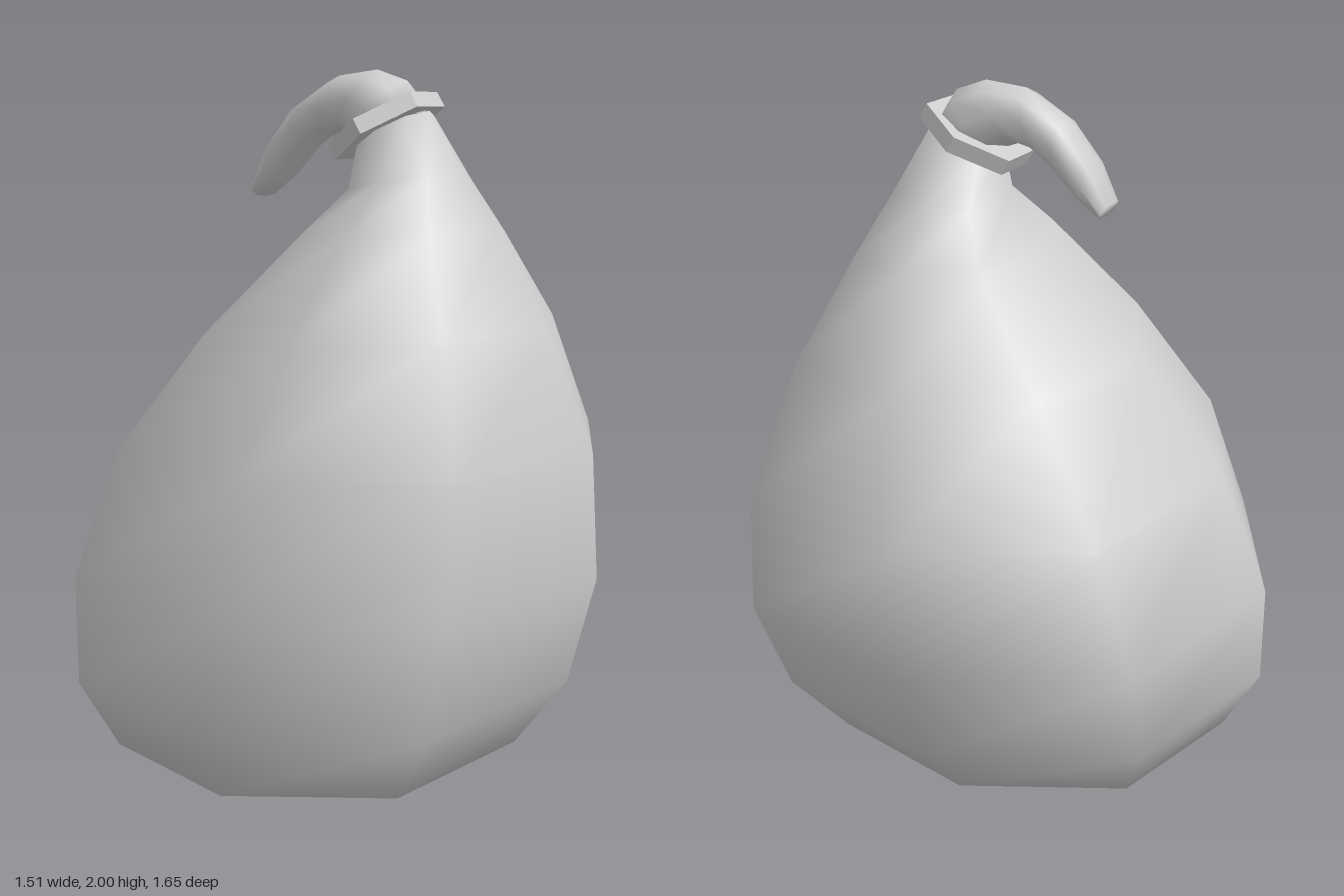
import * as THREE from 'three';

const SIDES = 8;

// Lofts tilted oval rings: [inner x, inner y, outer x, outer y, front z, back z, front-back lean].
// start and end are the closing points.
function loft(rings, start, end) {
  const pos = [...start];
  const index = [];
  for (const [xi, yi, xo, yo, zf, zb, lean] of rings) {
    for (let j = 0; j < SIDES; j++) {
      const t = (j / SIDES) * Math.PI * 2;
      const k = j % 2 ? 1.03 : 1; // slightly fuller on the diagonals
      const c = Math.cos(t) * k, s = Math.sin(t) * k;
      pos.push(
        (xi + xo) / 2 + ((xo - xi) / 2) * c,
        (yi + yo) / 2 + ((yo - yi) / 2) * c + lean * s,
        (zf + zb) / 2 + ((zf - zb) / 2) * s
      );
    }
  }
  pos.push(...end);
  const last = pos.length / 3 - 1;
  const at = (i, j) => 1 + i * SIDES + (j % SIDES);
  for (let j = 0; j < SIDES; j++) {
    index.push(0, at(0, j), at(0, j + 1));
    for (let i = 0; i < rings.length - 1; i++) {
      index.push(at(i, j), at(i + 1, j), at(i, j + 1));
      index.push(at(i, j + 1), at(i + 1, j), at(i + 1, j + 1));
    }
    index.push(last, at(rings.length - 1, j + 1), at(rings.length - 1, j));
  }
  const geo = new THREE.BufferGeometry();
  geo.setAttribute('position', new THREE.Float32BufferAttribute(pos, 3));
  geo.setIndex(index);
  geo.computeVertexNormals();
  return geo;
}

export function createModel() {
  const model = new THREE.Group();
  model.name = 'gourd';
  const grey = new THREE.MeshStandardMaterial({ color: 0xcccccc });
  grey.name = 'light grey';

  const add = (name, geo) => {
    const mesh = new THREE.Mesh(geo, grey);
    mesh.name = name;
    model.add(mesh);
    return mesh;
  };

  // Rounded body leaning up to a narrow neck
  add('body', loft([
    [-0.40, 0.03, 0.31, 0.045, 0.46, -0.29, -0.007],
    [-0.64, 0.125, 0.55, 0.145, 0.70, -0.54, -0.01],
    [-0.75, 0.32, 0.69, 0.34, 0.815, -0.71, -0.005],
    [-0.76, 0.62, 0.75, 0.63, 0.83, -0.825, 0.015],
    [-0.63, 0.96, 0.72, 0.97, 0.75, -0.80, 0.03],
    [-0.36, 1.29, 0.59, 1.31, 0.59, -0.59, 0.015],
    [-0.07, 1.55, 0.44, 1.57, 0.41, -0.35, 0.02],
    [0.04, 1.67, 0.355, 1.72, 0.25, -0.18, 0.01],
    [0.06, 1.79, 0.255, 1.89, 0.18, -0.09, 0],
  ], [-0.05, 0.005, 0.08], [0.15, 1.85, 0.045]));

  // Curled stem
  add('stem', loft([
    [0.055, 1.80, 0.245, 1.89, 0.18, -0.085, 0],
    [0.045, 1.82, 0.19, 1.97, 0.175, -0.08, 0],
    [0.00, 1.835, 0.10, 2.0, 0.15, -0.065, 0],
    [-0.06, 1.815, -0.02, 1.985, 0.135, -0.06, 0],
    [-0.11, 1.775, -0.14, 1.91, 0.13, -0.065, 0],
    [-0.185, 1.695, -0.225, 1.80, 0.125, -0.06, 0],
    [-0.25, 1.65, -0.272, 1.69, 0.11, -0.04, 0],
  ], [0.15, 1.845, 0.045], [-0.262, 1.669, 0.035]));

  // Six-sided collar tilted around the neck
  const collarGeo = new THREE.CylinderGeometry(0.19, 0.19, 0.045, 6).toNonIndexed();
  collarGeo.scale(0.85, 1, 1);
  collarGeo.computeVertexNormals();
  const collar = add('collar', collarGeo);
  collar.position.set(0.13, 1.85, 0.048);
  collar.rotation.z = 0.53;

  return model;
}
